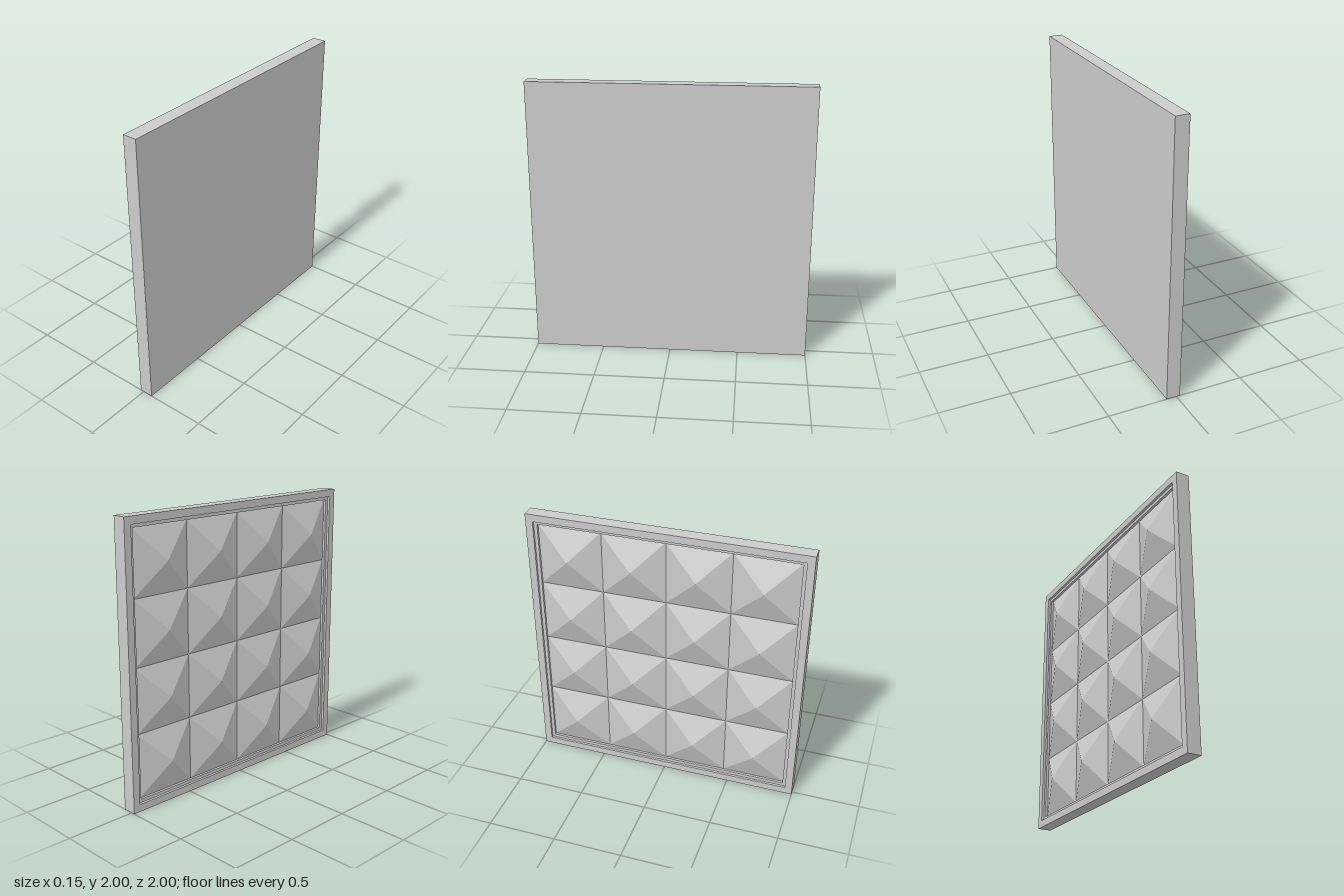
import * as THREE from 'three';

const SIZE = 2;          // panel edge length
const BACK = 0.073;      // x of the flat side
const FLOOR = 0.009;     // x of the recess floor
const STEP = -0.009;     // x of the inner ledge
const RIM = -0.027;      // x of the outer rim face
const PEAK = -0.073;     // x of the pyramid tips
const CELLS = 4;
const PITCH = 0.4615;

const material = new THREE.MeshStandardMaterial({ color: 0xcccccc, flatShading: true });

function square(target, half) {
  target.moveTo(-half, -half);
  target.lineTo(half, -half);
  target.lineTo(half, half);
  target.lineTo(-half, half);
  target.closePath();
  return target;
}

// Square ring of the given border width, running from x = from towards -x
function ring(name, border, from, to) {
  const shape = square(new THREE.Shape(), SIZE / 2);
  shape.holes.push(square(new THREE.Path(), SIZE / 2 - border));
  const geometry = new THREE.ExtrudeGeometry(shape, { depth: from - to, bevelEnabled: false });
  geometry.rotateY(-Math.PI / 2);
  const mesh = new THREE.Mesh(geometry, material);
  mesh.name = name;
  mesh.position.set(from, SIZE / 2, 0);
  return mesh;
}

export function createModel() {
  const model = new THREE.Group();
  model.name = 'studdedPanel';

  // Flat backing slab
  const slab = new THREE.Mesh(new THREE.BoxGeometry(BACK - FLOOR, SIZE, SIZE), material);
  slab.name = 'backingSlab';
  slab.position.set((BACK + FLOOR) / 2, SIZE / 2, 0);
  model.add(slab);

  // Stepped frame around the recess
  model.add(ring('innerLedge', (SIZE - CELLS * PITCH) / 2, FLOOR, STEP));
  model.add(ring('outerRim', 0.053, STEP, RIM));

  // Grid of shallow four-sided pyramids
  const height = FLOOR - PEAK;
  const stud = new THREE.ConeGeometry(PITCH / Math.SQRT2, height, 4, 1, true);
  stud.rotateY(Math.PI / 4);
  stud.rotateZ(Math.PI / 2);
  const studs = new THREE.Group();
  studs.name = 'pyramidStuds';
  for (let row = 0; row < CELLS; row++) {
    for (let col = 0; col < CELLS; col++) {
      const mesh = new THREE.Mesh(stud, material);
      mesh.name = 'pyramidStud';
      mesh.position.set(
        FLOOR - height / 2,
        SIZE / 2 + (row - (CELLS - 1) / 2) * PITCH,
        (col - (CELLS - 1) / 2) * PITCH
      );
      studs.add(mesh);
    }
  }
  model.add(studs);

  return model;
}
